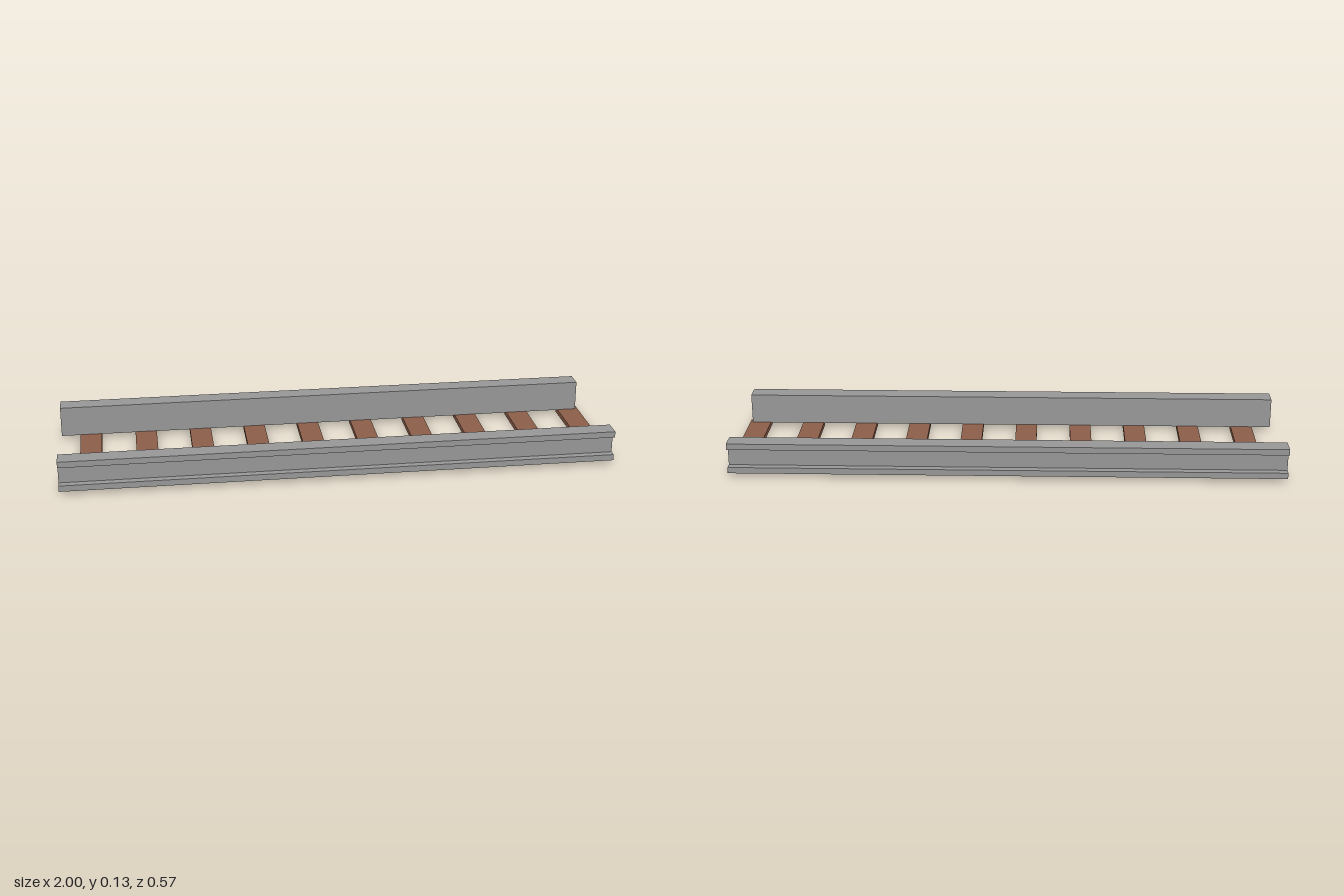
import * as THREE from 'three';

const railMetal = new THREE.MeshStandardMaterial({ name: 'rail grey', color: 0x969696 });
const tieWood = new THREE.MeshStandardMaterial({ name: 'tie brown', color: 0x8b5d48 });

// Channel section as [z, y]: flat inner face, flanges pointing outward
const section = [
  [0.217, 0.017], [0.285, 0.017], [0.285, 0.039], [0.258, 0.039],
  [0.258, 0.107], [0.285, 0.107], [0.285, 0.129], [0.217, 0.129],
];

function makeRail(name, side) {
  const shape = new THREE.Shape(section.map(([z, y]) => new THREE.Vector2(side * z, y)));
  const geometry = new THREE.ExtrudeGeometry(shape, { depth: 1.99, bevelEnabled: false });
  geometry.rotateY(-Math.PI / 2).translate(0.99, 0, 0); // run along x from -1 to 0.99
  const rail = new THREE.Mesh(geometry, railMetal);
  rail.name = name;
  return rail;
}

export function createModel() {
  const track = new THREE.Group();
  track.name = 'track';
  track.add(makeRail('frontRail', 1), makeRail('backRail', -1));

  // Evenly spaced cross ties under the rails
  const ties = new THREE.Group();
  ties.name = 'ties';
  const tieGeometry = new THREE.BoxGeometry(0.08, 0.018, 0.485);
  const count = 10, first = -0.89, last = 0.96;
  for (let i = 0; i < count; i++) {
    const tie = new THREE.Mesh(tieGeometry, tieWood);
    tie.name = `tie${i + 1}`;
    tie.position.set(first + (last - first) * i / (count - 1), 0.009, 0);
    ties.add(tie);
  }
  track.add(ties);
  return track;
}
